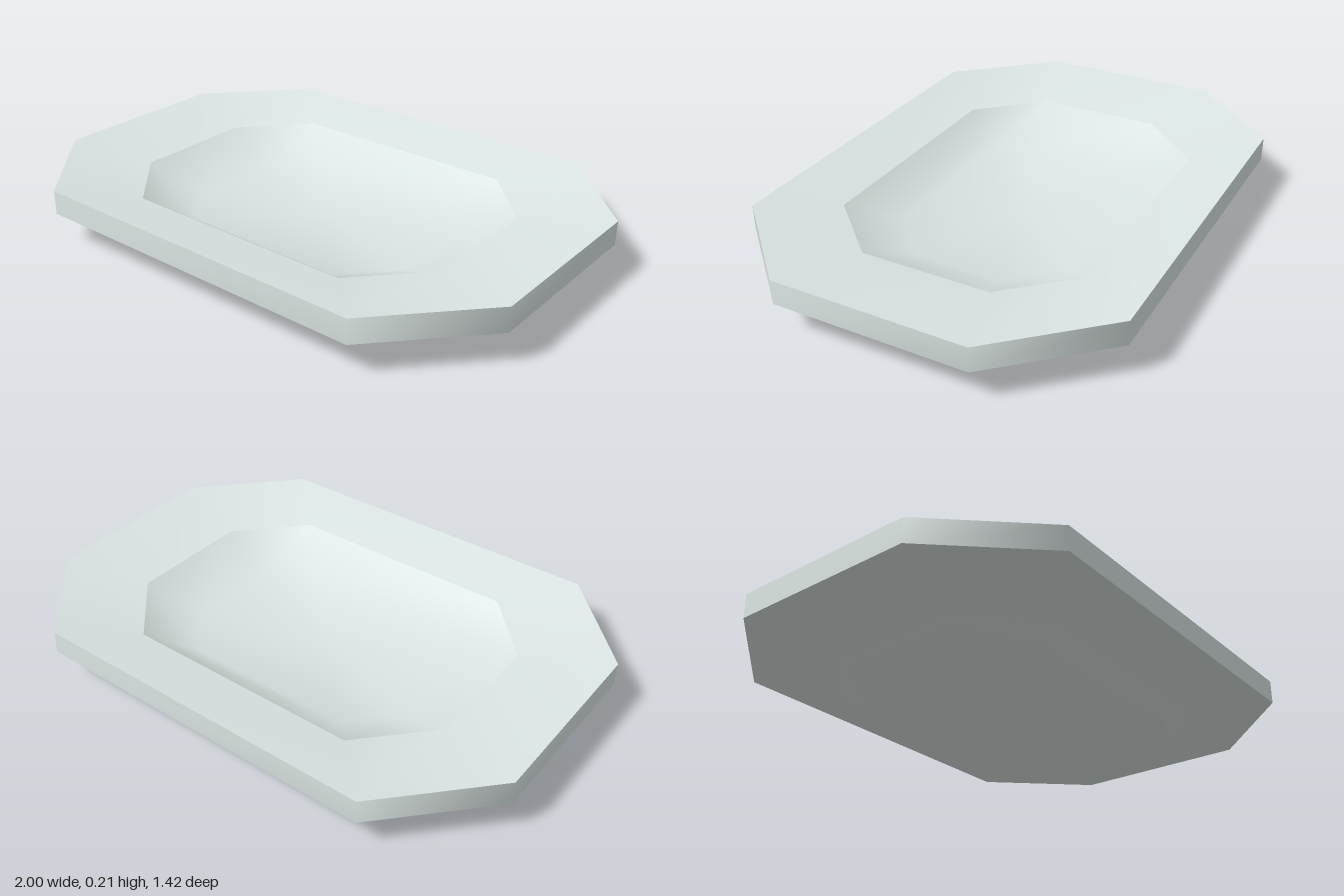
import * as THREE from 'three';

// Outline of the rim: a rectangle with clipped corners, as [x, z]
const OUTLINE = [
  [1, 0.355], [0.67, 0.71], [-0.67, 0.71], [-1, 0.355],
  [-1, -0.355], [-0.67, -0.71], [0.67, -0.71], [1, -0.355],
];

// Smooth surface through scaled copies of the outline, each ring given as [scale, y]
function loft(rings) {
  const n = OUTLINE.length;
  const positions = [];
  const index = [];
  for (const [s, y] of rings) for (const [x, z] of OUTLINE) positions.push(x * s, y, z * s);
  for (let r = 0; r < rings.length - 1; r++) {
    for (let k = 0; k < n; k++) {
      const a = r * n + k;
      const b = r * n + (k + 1) % n;
      index.push(a, a + n, b, b, a + n, b + n);
    }
  }
  const geometry = new THREE.BufferGeometry();
  geometry.setAttribute('position', new THREE.Float32BufferAttribute(positions, 3));
  geometry.setIndex(index);
  geometry.computeVertexNormals();
  return geometry;
}

export function createModel() {
  const model = new THREE.Group();
  model.name = 'plate';

  const glaze = new THREE.MeshStandardMaterial({ color: 0xdce6e4 });
  glaze.name = 'pale grey glaze';

  const add = (name, rings) => {
    const mesh = new THREE.Mesh(loft(rings), glaze);
    mesh.name = name;
    model.add(mesh);
  };

  // Underside: flat base with sloping foot, then the shallow underside of the rim
  add('base', [[0, 0], [0.475, 0], [0.68, 0.068]]);
  add('rimUnderside', [[0.68, 0.068], [1, 0.12]]);

  // Upright band around the rim
  add('rimEdge', [[1, 0.12], [1, 0.21]]);

  // Top: gently sloping rim with a crisp edge into the deeper bowl
  add('rimTop', [[1, 0.21], [0.68, 0.163]]);
  add('bowl', [[0.68, 0.163], [0.475, 0.06], [0, 0.06]]);

  return model;
}
